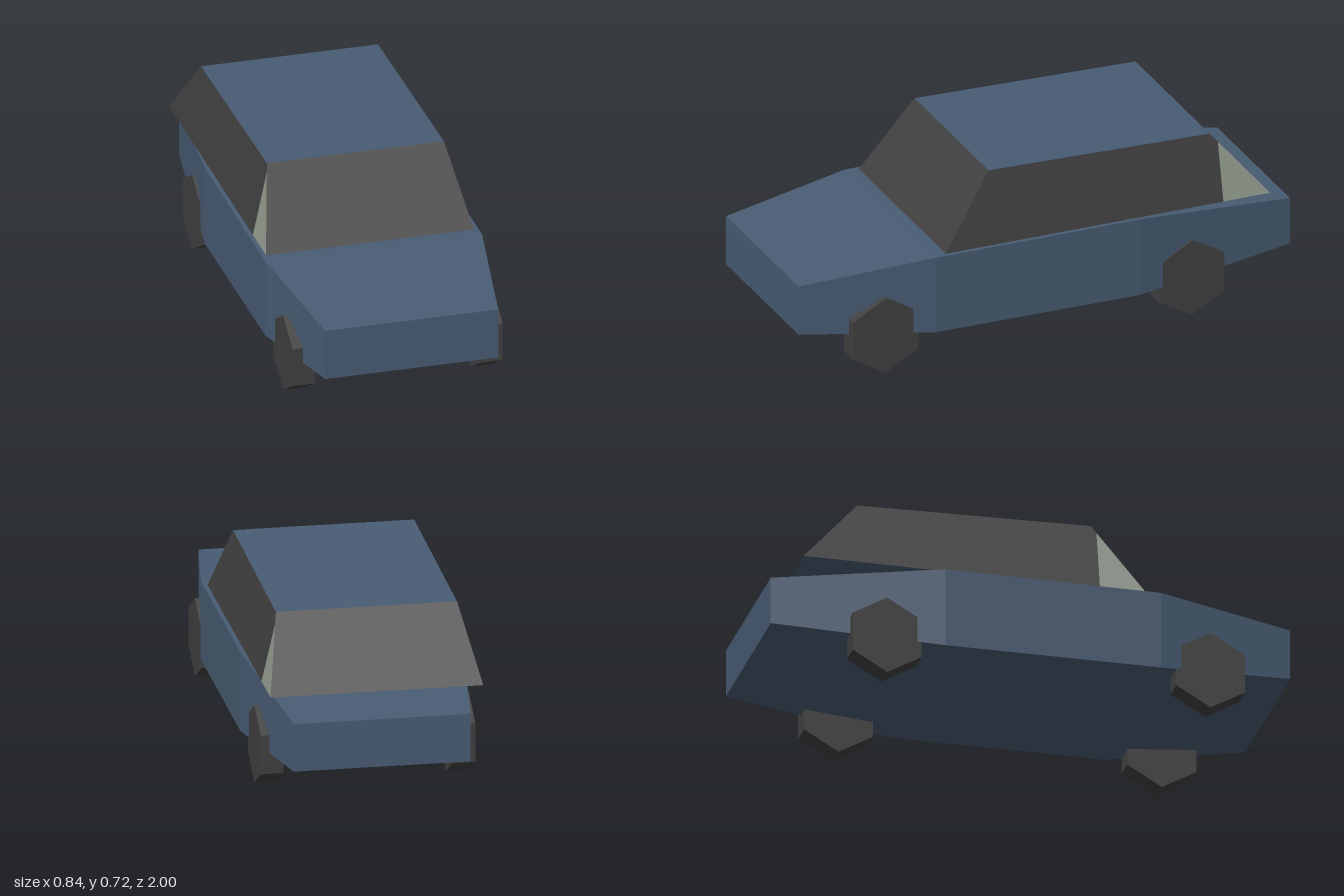
import * as THREE from 'three';

const material = (name, color) => {
  const m = new THREE.MeshStandardMaterial({ color });
  m.name = name;
  return m;
};

// Flat-shaded mesh from convex polygons, corners counter-clockwise from outside
function polyMesh(name, mat, faces) {
  const pos = [];
  for (const f of faces)
    for (let i = 1; i < f.length - 1; i++) pos.push(...f[0], ...f[i], ...f[i + 1]);
  const g = new THREE.BufferGeometry();
  g.setAttribute('position', new THREE.Float32BufferAttribute(pos, 3));
  g.computeVertexNormals();
  const mesh = new THREE.Mesh(g, mat);
  mesh.name = name;
  return mesh;
}

// Flip a point or a face to the other side, keeping faces outward
const flip = ([x, y, z]) => [-x, y, z];
const flipFace = (face) => face.map(flip).reverse();
const across = (a, b) => [flip(a), a, b, flip(b)];

export function createModel() {
  const paint = material('blue paint', 0x485c73);
  const dark = material('dark glass and rubber', 0x404040);
  const pale = material('pale glass', 0x8f988c);
  const car = new THREE.Group();
  car.name = 'car';

  // Body: rectangular sections from nose to tail [z, half width, bottom, top]
  const rings = [
    [1, 0.335, 0.187, 0.386],
    [0.48, 0.42, 0.135, 0.442],
    [-0.35, 0.42, 0.13, 0.442],
    [-1, 0.335, 0.183, 0.37],
  ].map(([z, w, b, t]) => [[-w, b, z], [w, b, z], [w, t, z], [-w, t, z]]);
  const shell = [rings[0], [...rings[3]].reverse()];
  for (let i = 0; i < 3; i++)
    for (let j = 0; j < 4; j++) {
      const k = (j + 1) % 4;
      shell.push([rings[i][j], rings[i + 1][j], rings[i + 1][k], rings[i][k]]);
    }
  car.add(polyMesh('body', paint, shell));

  // Cabin corners on the +x side
  const baseFront = [0.403, 0.442, 0.43], baseRear = [0.403, 0.442, -0.89];
  const topFront = [0.343, 0.722, 0.23], topRear = [0.343, 0.702, -0.67];
  // Split points where the pale quarter windows start
  const rearHigh = [0.351, 0.667, -0.7], rearLow = [0.403, 0.442, -0.7];
  const frontHigh = [0.349, 0.694, 0.25], frontLow = [0.403, 0.442, 0.25];

  const cabin = new THREE.Group();
  cabin.name = 'cabin';
  cabin.add(
    polyMesh('roof', paint, [across(topFront, topRear)]),
    polyMesh('cabinFloor', paint, [across(baseRear, baseFront)]),
    polyMesh('windscreen', dark, [across(baseFront, topFront)]),
    polyMesh('rearWindow', dark, [across(topRear, baseRear)]),
    polyMesh('leftWindow', dark, [[topFront, baseFront, rearLow, rearHigh, topRear]]),
    polyMesh('leftQuarterWindow', pale, [[rearLow, baseRear, rearHigh]]),
    polyMesh('rightWindow', dark, [flipFace([topRear, topFront, frontHigh, frontLow, baseRear])]),
    polyMesh('rightQuarterWindow', pale, [flipFace([baseFront, frontLow, frontHigh])]),
  );
  car.add(cabin);

  // Hexagonal wheels, each resting on a point
  const wheelGeo = new THREE.CylinderGeometry(0.153, 0.153, 0.087, 6).toNonIndexed();
  wheelGeo.rotateZ(Math.PI / 2).rotateX(Math.PI / 6);
  wheelGeo.computeVertexNormals();
  for (const [end, z] of [['front', 0.675], ['rear', -0.57]])
    for (const [side, s] of [['Left', 1], ['Right', -1]]) {
      const wheel = new THREE.Mesh(wheelGeo, dark);
      wheel.name = `${end}${side}Wheel`;
      wheel.position.set(s * 0.363, 0.153, z);
      car.add(wheel);
    }
  return car;
}
